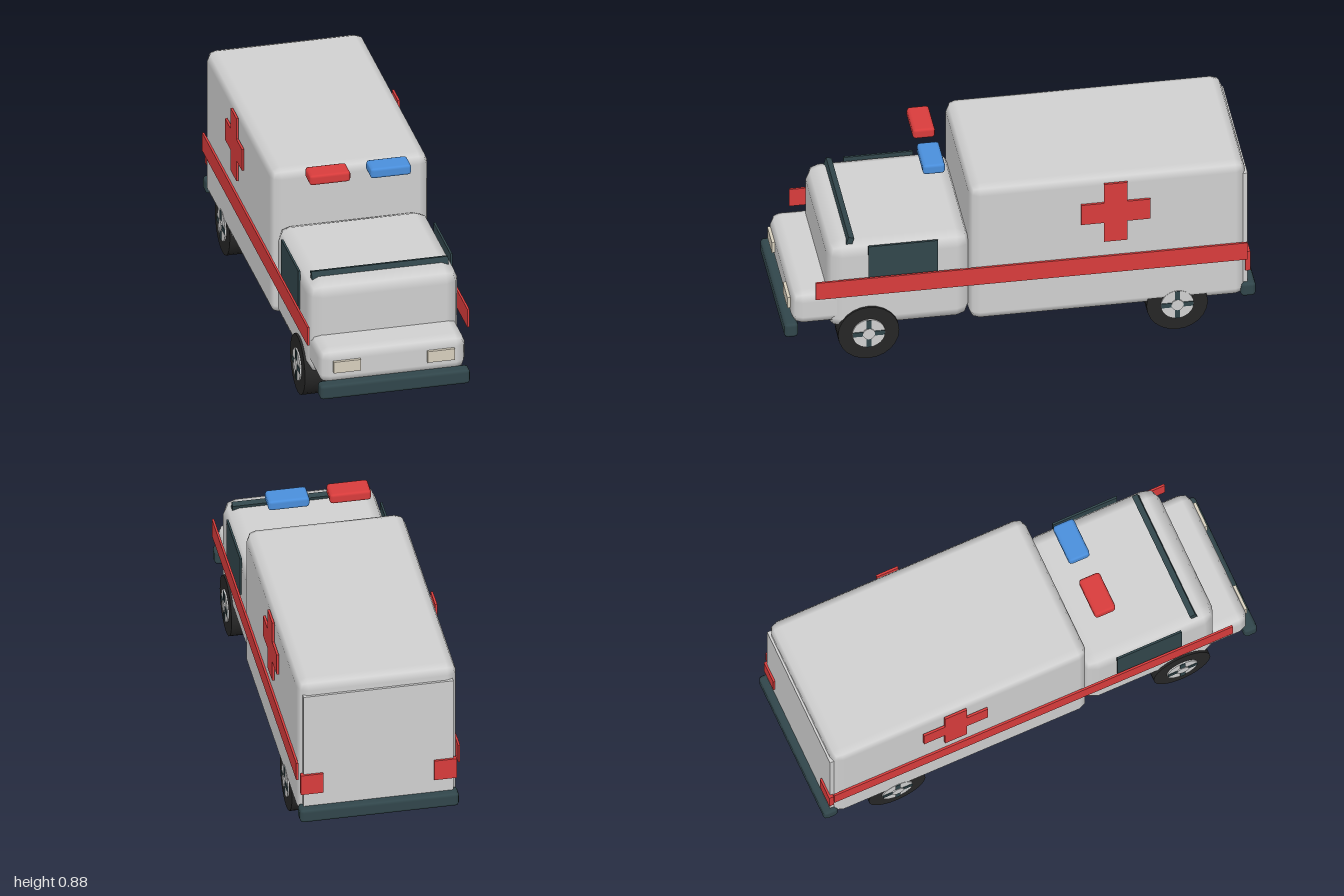
import * as THREE from 'three';
import { RoundedBoxGeometry } from 'three/addons/geometries/RoundedBoxGeometry.js';

const mat = (name, color) => Object.assign(new THREE.MeshStandardMaterial({ color }), { name });

export function createModel() {
  const model = new THREE.Group();
  model.name = 'ambulance';
  const body = mat('bodyGrey', 0xd0d0d0);
  const red = mat('red', 0xd93c3c);
  const blue = mat('blue', 0x4a8fdc);
  const trim = mat('darkTrim', 0x31464b);
  const rubber = mat('rubber', 0x262626);
  const lamp = mat('headlightCream', 0xd8d0be);

  const add = (name, geometry, material, parent = model) => {
    const mesh = new THREE.Mesh(geometry, material);
    mesh.name = name;
    parent.add(mesh);
    return mesh;
  };
  // Boxes given by their extents on x, y and z; a radius bevels the edges
  const block = (name, [x0, x1], [y0, y1], [z0, z1], material, radius = 0) => {
    const size = [x1 - x0, y1 - y0, z1 - z0];
    const geometry = radius
      ? new RoundedBoxGeometry(...size, 1, radius)
      : new THREE.BoxGeometry(...size);
    const mesh = add(name, geometry, material);
    mesh.position.set((x0 + x1) / 2, (y0 + y1) / 2, (z0 + z1) / 2);
    return mesh;
  };
  const sideSpan = (side, inner, outer) => (side > 0 ? [inner, outer] : [-outer, -inner]);

  // Body shells
  block('patientCompartment', [-0.34, 0.34], [0.138, 0.82], [-0.957, 0.215], body, 0.043);
  block('cab', [-0.326, 0.326], [0.143, 0.577], [0.207, 0.815], body, 0.06);
  block('hood', [-0.317, 0.317], [0.18, 0.343], [0.6, 0.965], body, 0.045);
  block('rearDoor', [-0.32, 0.32], [0.17, 0.755], [-0.967, -0.94], body);

  // Bumpers
  block('frontBumper', [-0.324, 0.324], [0.132, 0.2], [0.94, 1], trim, 0.015);
  block('rearBumper', [-0.34, 0.34], [0.135, 0.2], [-1, -0.935], trim, 0.015);

  // Leaning windscreen plate, its top edge rising just above the cab roof
  const windscreen = add('windscreen', new THREE.BoxGeometry(0.59, 0.18, 0.025), trim);
  windscreen.position.set(0, 0.51, 0.738);
  windscreen.rotation.x = -0.3;

  // Roof beacons
  block('redBeacon', [-0.22, -0.043], [0.827, 0.875], [0.3, 0.395], red, 0.013);
  block('blueBeacon', [0.043, 0.22], [0.827, 0.875], [0.3, 0.395], blue, 0.013);

  // Cross outline used on both flanks
  const w = 0.05, h = 0.147;
  const crossShape = new THREE.Shape([
    [-w, -h], [w, -h], [w, -w], [h, -w], [h, w], [w, w],
    [w, h], [-w, h], [-w, w], [-h, w], [-h, -w], [-w, -w],
  ].map(([x, y]) => new THREE.Vector2(x, y)));
  const crossGeometry = new THREE.ExtrudeGeometry(crossShape, { depth: 0.01, bevelEnabled: false });
  crossGeometry.translate(0, 0, -0.005);

  // Tyre with hub faces, raised spokes and cap on both ends
  const makeWheel = (name, side, z) => {
    const wheel = new THREE.Group();
    wheel.name = name;
    const disc = (part, radius, width, material) =>
      add(part, new THREE.CylinderGeometry(radius, radius, width, 24).rotateZ(Math.PI / 2), material, wheel);
    disc('tyre', 0.13, 0.091, rubber);
    disc('hub', 0.07, 0.103, body);
    for (let i = 0; i < 2; i++) {
      const spoke = add('spokes', new THREE.BoxGeometry(0.109, 0.136, 0.022), trim, wheel);
      spoke.rotation.x = i * Math.PI / 2;
    }
    disc('hubCap', 0.026, 0.114, body);
    wheel.position.set(side * 0.29, 0.13, z);
    model.add(wheel);
  };

  for (const side of [-1, 1]) {
    const label = side > 0 ? 'left' : 'right';
    block(label + 'SideWindow', sideSpan(side, 0.324, 0.333), [0.385, 0.568], [0.35, 0.645], trim);
    block(label + 'Stripe', sideSpan(side, 0.341, 0.35), [0.333, 0.418], [-0.96, 0.872], red);
    const cross = add(label + 'Cross', crossGeometry, red);
    cross.position.set(side * 0.348, 0.642, -0.402);
    cross.rotation.y = side * Math.PI / 2;
    block(label + 'Headlight', sideSpan(side, 0.144, 0.261), [0.243, 0.295], [0.96, 0.978], lamp);
    block(label + 'TailLight', sideSpan(side, 0.237, 0.333), [0.265, 0.362], [-0.976, -0.955], red);
    makeWheel(label + 'FrontWheel', side, 0.645);
    makeWheel(label + 'RearWheel', side, -0.665);
  }
  return model;
}
